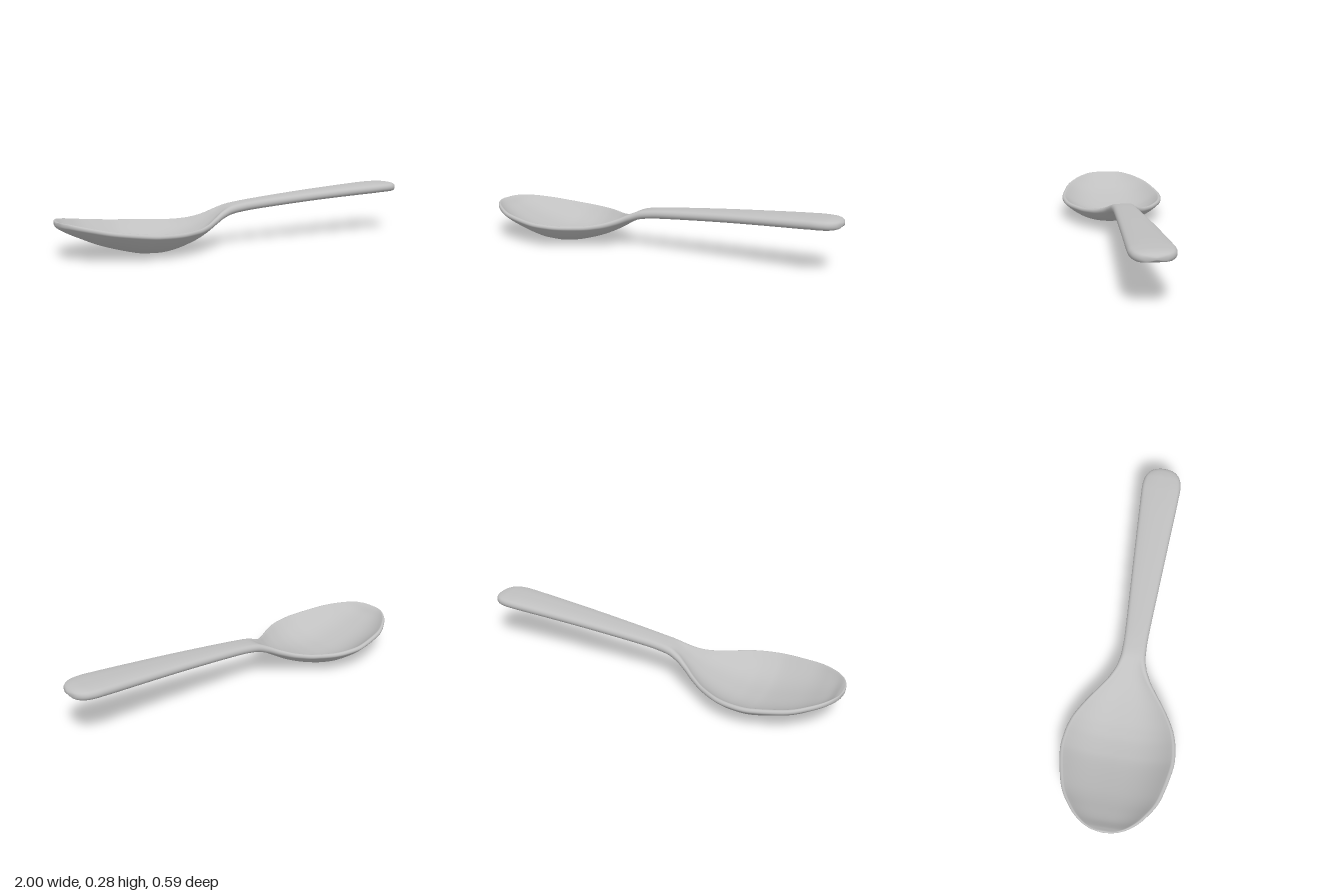
import * as THREE from 'three';

// Stations along the spoon: x, half width, rim height, underside, upper centre, edge thickness
const STATIONS = [
  [-1, 0, 0.172, 0.165, 0.172, 0.006],
  [-0.994, 0.051, 0.181, 0.152, 0.181, 0.02],
  [-0.976, 0.1, 0.181, 0.138, 0.172, 0.025],
  [-0.939, 0.153, 0.175, 0.118, 0.145, 0.025],
  [-0.883, 0.202, 0.165, 0.092, 0.118, 0.025],
  [-0.8, 0.25, 0.15, 0.057, 0.084, 0.025],
  [-0.6, 0.293, 0.127, 0.004, 0.033, 0.025],
  [-0.52, 0.286, 0.123, 0, 0.03, 0.025],
  [-0.45, 0.268, 0.121, 0.008, 0.037, 0.025],
  [-0.35, 0.215, 0.121, 0.033, 0.062, 0.025],
  [-0.27, 0.158, 0.13, 0.063, 0.092, 0.028],
  [-0.2, 0.107, 0.152, 0.1, 0.13, 0.034],
  [-0.14, 0.077, 0.18, 0.133, 0.17, 0.04],
  [-0.08, 0.064, 0.202, 0.157, 0.203, 0.044],
  [0, 0.062, 0.214, 0.17, 0.217, 0.044],
  [0.4, 0.082, 0.244, 0.2, 0.25, 0.044],
  [0.8, 0.103, 0.265, 0.217, 0.273, 0.046],
  [0.88, 0.106, 0.268, 0.22, 0.275, 0.045],
  [0.93, 0.1, 0.268, 0.222, 0.275, 0.044],
  [0.965, 0.083, 0.266, 0.224, 0.272, 0.04],
  [0.99, 0.05, 0.26, 0.232, 0.264, 0.028],
  [1, 0, 0.25, 0.246, 0.25, 0.004],
];

// Monotone slope of column c at station i (x eases to rest at both rounded tips)
function slope(i, c) {
  const last = STATIONS.length - 1;
  const step = (k) => STATIONS[k + 1][c] - STATIONS[k][c];
  if (i === 0 || i === last) return c === 0 ? 0 : step(i === 0 ? 0 : last - 1);
  const a = step(i - 1), b = step(i);
  return a * b > 0 ? (2 * a * b) / (a + b) : 0;
}

function station(u) {
  const i = Math.min(Math.floor(u), STATIONS.length - 2);
  const t = u - i, t2 = t * t, t3 = t2 * t;
  return STATIONS[i].map((v, c) =>
    v * (2 * t3 - 3 * t2 + 1) + STATIONS[i + 1][c] * (3 * t2 - 2 * t3) +
    slope(i, c) * (t3 - 2 * t2 + t) + slope(i + 1, c) * (t3 - t2));
}

// Closed cross-section: underside, rounded rim, dished or crowned upper face, then mirrored
function section([x, w, top, under, centre, thick]) {
  const POWER = 2.7, FACE = 14, ARC = 10;
  const rz = Math.min(thick / 2, w / 2), ry = thick / 2;
  const cz = w - rz, cy = top - ry;
  const lean = (rise) => Math.atan2(POWER * rise, Math.max(cz, 1e-4));
  const a0 = -Math.PI / 2 + lean(Math.max(cy - ry - under, 0)) * 0.9;
  const a1 = Math.PI / 2 + lean(top - centre) * 0.9;
  const rim = (a) => [cz + rz * Math.cos(a), cy + ry * Math.sin(a)];
  const start = rim(a0), end = rim(a1);
  const face = (s, mid, edge) => [s * edge[0], mid + (edge[1] - mid) * s ** POWER];
  const half = [];
  for (let k = 0; k < FACE; k++) half.push(face(k / FACE, under, start));
  for (let k = 0; k <= ARC; k++) half.push(rim(a0 + (a1 - a0) * k / ARC));
  for (let k = FACE - 1; k >= 0; k--) half.push(face(k / FACE, centre, end));
  const mirror = half.slice(1, -1).reverse().map(([z, y]) => [-z, y]);
  return [...half, ...mirror].map(([z, y]) => [x, y, z]);
}

// Skin the sections into one smooth closed surface
function loft(rows) {
  const n = rows[0].length, index = [];
  for (let i = 0; i < rows.length - 1; i++) {
    for (let j = 0; j < n; j++) {
      const k = (j + 1) % n;
      const a = i * n + j, b = i * n + k, c = a + n, d = b + n;
      index.push(a, c, b, b, c, d);
    }
  }
  const geometry = new THREE.BufferGeometry();
  geometry.setAttribute('position', new THREE.Float32BufferAttribute(rows.flat(2), 3));
  geometry.setIndex(index);
  geometry.computeVertexNormals();
  return geometry;
}

export function createModel() {
  const group = new THREE.Group();
  group.name = 'spoon';
  const metal = new THREE.MeshStandardMaterial({ color: 0xc0c0c0 });
  metal.name = 'light grey metal';

  const PER = 8, rows = [];
  for (let k = 0; k <= (STATIONS.length - 1) * PER; k++) rows.push(section(station(k / PER)));
  const body = new THREE.Mesh(loft(rows), metal);
  body.name = 'bowlAndHandle';
  group.add(body);
  return group;
}
